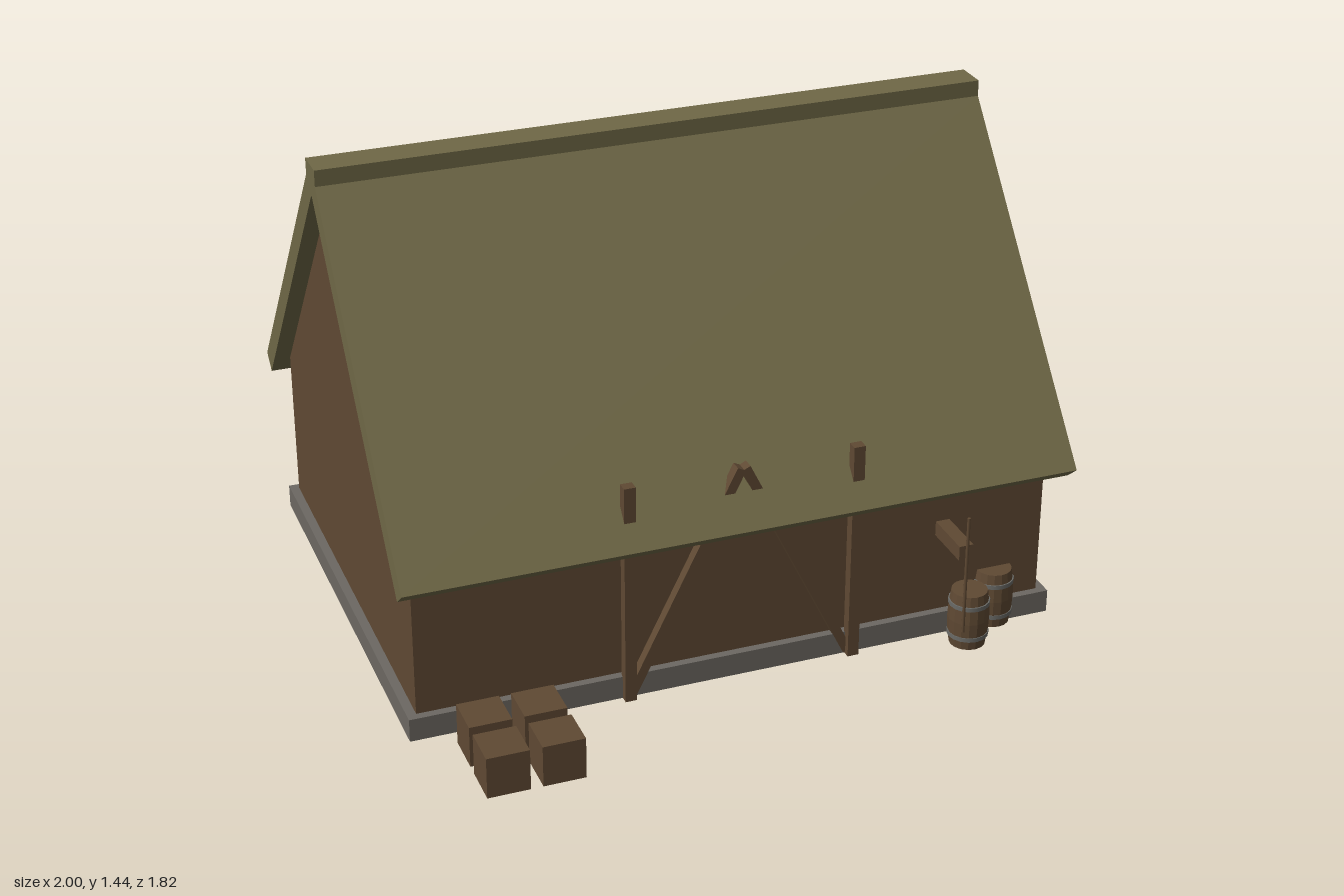
import * as THREE from 'three';

const paint = (name, color) => {
  const m = new THREE.MeshStandardMaterial({ color });
  m.name = name;
  return m;
};

export function createModel() {
  const house = new THREE.Group();
  house.name = 'thatchedBarn';
  const thatch = paint('thatch', 0x6f6846);
  const wood = paint('wood', 0x5f4933);
  const stone = paint('stone', 0x6c6862);
  const iron = paint('iron', 0x6a6a66);
  const MID = -0.125; // z of the ridge line

  const add = (name, geometry, material, parent = house) => {
    const mesh = new THREE.Mesh(geometry, material);
    mesh.name = name;
    parent.add(mesh);
    return mesh;
  };
  // Box given by its lower and upper corners
  const block = (name, material, a, b) => {
    const mesh = add(name, new THREE.BoxGeometry(b[0] - a[0], b[1] - a[1], b[2] - a[2]), material);
    mesh.position.set((a[0] + b[0]) / 2, (a[1] + b[1]) / 2, (a[2] + b[2]) / 2);
    return mesh;
  };
  // Prism along x from a [z, y] outline
  const prism = (name, material, outline, halfLength) => {
    const shape = new THREE.Shape(outline.map(([z, y]) => new THREE.Vector2(-z, y)));
    const g = new THREE.ExtrudeGeometry(shape, { depth: halfLength * 2, bevelEnabled: false });
    g.translate(0, 0, -halfLength).rotateY(Math.PI / 2);
    return add(name, g, material);
  };

  // Stone footing and gabled walls
  block('foundation', stone, [-0.977, 0, -0.832], [0.977, 0.07, 0.582]);
  prism('walls', wood, [
    [MID - 0.683, 0.07], [MID + 0.683, 0.07], [MID + 0.683, 0.54],
    [MID, 1.357], [MID - 0.683, 0.54],
  ], 0.95);

  // Two thatch slabs, mirrored about the ridge, and the ridge cap
  for (const s of [1, -1]) {
    prism(s > 0 ? 'frontRoof' : 'backRoof', thatch, [
      [0, 1.35], [0.735, 0.468], [0.785, 0.51], [0.05, 1.392],
    ].map(([z, y]) => [MID + s * z, y]), 1);
  }
  block('ridgeCap', thatch, [-1, 1.345, MID - 0.05], [1, 1.44, MID + 0.05]);

  // Door frame: posts that pierce the eave and slanting braces that meet above
  for (const s of [-1, 1]) {
    block('doorPost', wood, [s * 0.34 - 0.017, 0, 0.574], [s * 0.34 + 0.017, 0.682, 0.606]);
    const foot = new THREE.Vector2(s * 0.33, 0.01);
    const top = new THREE.Vector2(s * 0.006, 0.668);
    const brace = add('doorBrace', new THREE.BoxGeometry(0.028, foot.distanceTo(top), 0.034), wood);
    brace.position.set((foot.x + top.x) / 2, (foot.y + top.y) / 2, 0.571);
    brace.rotation.z = Math.atan2(foot.x - top.x, top.y - foot.y);
  }

  // Wall arm with a thin upright rod
  block('wallArm', wood, [0.61, 0.32, 0.55], [0.653, 0.365, 0.714]);
  const rod = add('rod', new THREE.CylinderGeometry(0.005, 0.005, 0.375, 8), wood);
  rod.position.set(0.633, 0.268, 0.717);

  // Barrels with iron hoops
  const staves = [[0, 0], [0.053, 0], [0.059, 0.045], [0.061, 0.087], [0.059, 0.13], [0.053, 0.175], [0, 0.175]]
    .map(([r, y]) => new THREE.Vector2(r, y));
  for (const [x, z] of [[0.684, 0.648], [0.805, 0.56]]) {
    const barrel = new THREE.Group();
    barrel.name = 'barrel';
    barrel.position.set(x, 0, z);
    const body = new THREE.LatheGeometry(staves, 16).toNonIndexed();
    body.computeVertexNormals();
    add('barrelBody', body, wood, barrel);
    for (const y of [0.036, 0.138]) {
      add('barrelHoop', new THREE.CylinderGeometry(0.061, 0.061, 0.013, 16), iron, barrel).position.y = y;
    }
    house.add(barrel);
  }

  // Four crates
  for (const x of [-0.856, -0.699]) {
    for (const z of [0.632, 0.788]) {
      block('crate', wood, [x, 0, z], [x + 0.122, 0.125, z + 0.122]);
    }
  }
  return house;
}
